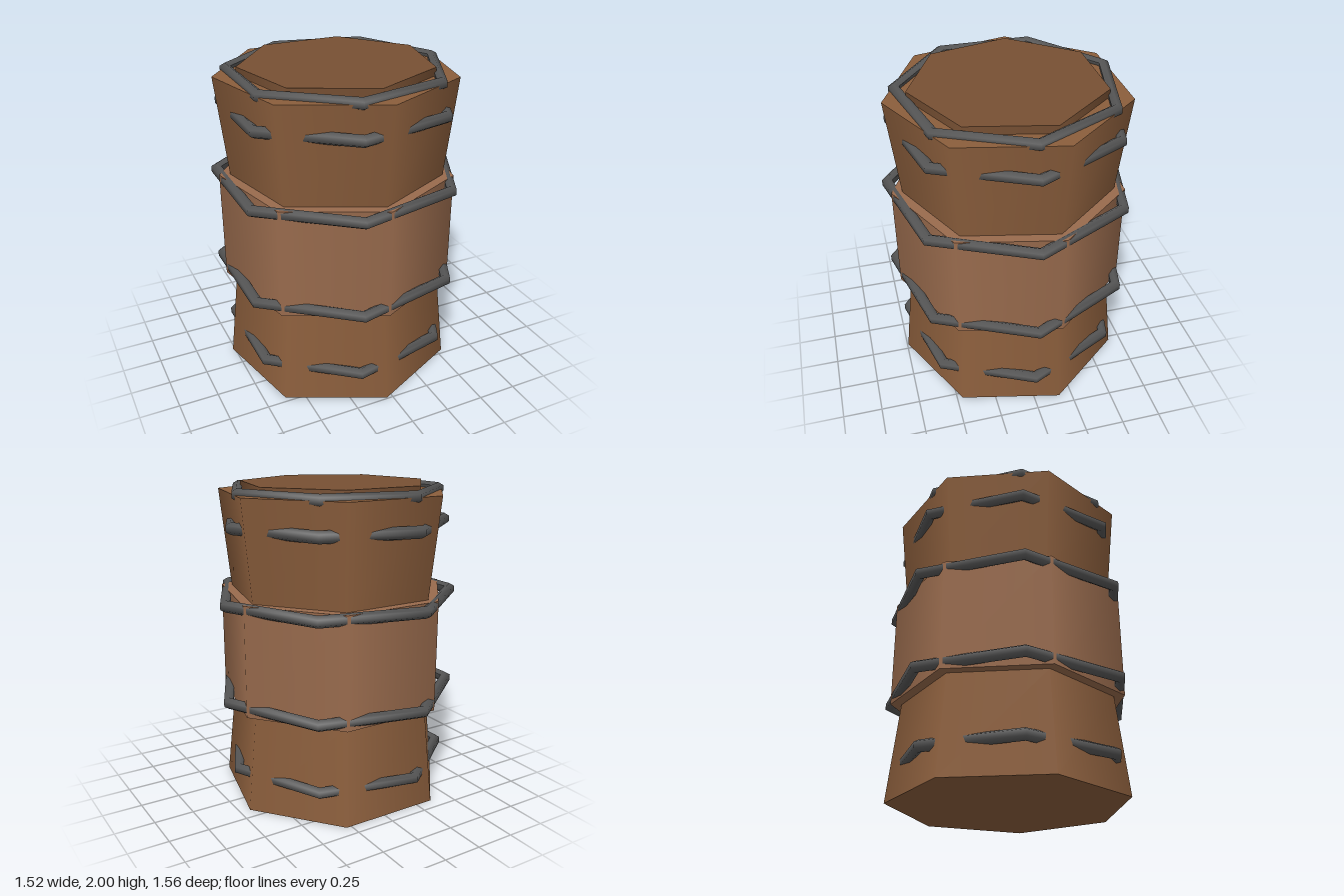
import * as THREE from 'three';

const SIDES = 7;

export function createModel() {
  const barrel = new THREE.Group();
  barrel.name = 'barrel';
  const mat = (color) => new THREE.MeshStandardMaterial({ color });
  const wood = mat(0x8b5e3c), lightWood = mat(0x996b4d), lidWood = mat(0x775033), iron = mat(0x555555);

  const add = (name, geometry, material, y) => {
    const mesh = new THREE.Mesh(geometry, material);
    mesh.name = name;
    mesh.position.set(-0.04, y, 0);
    barrel.add(mesh);
  };

  // Seven-sided wooden section between two heights
  const section = (name, bottomRadius, topRadius, y0, y1, material) =>
    add(name, new THREE.CylinderGeometry(topRadius, bottomRadius, y1 - y0, SIDES), material, (y0 + y1) / 2);

  section('lowerBody', 0.743, 0.675, 0, 0.625, wood);
  section('middleBody', 0.743, 0.743, 0.625, 1.325, lightWood);
  section('upperBody', 0.675, 0.743, 1.325, 1.95, wood);
  section('lid', 0.6, 0.6, 1.93, 2, lidWood);

  // Seven-sided hoop with a hexagonal bar, flat side outward
  const hoop = (name, radius, y) => {
    const profile = [];
    for (let i = 0; i <= 6; i++) {
      const a = Math.PI * (5 / 6 + i / 3);
      profile.push(new THREE.Vector2(radius + 0.0375 * Math.cos(a), 0.0375 * Math.sin(a)));
    }
    add(name, new THREE.LatheGeometry(profile, SIDES).rotateY(Math.PI / 2), iron, y);
  };

  hoop('bottomHoop', 0.7125, 0.215);
  hoop('lowerMiddleHoop', 0.7675, 0.675);
  hoop('upperMiddleHoop', 0.7675, 1.295);
  hoop('upperHoop', 0.7125, 1.757);
  hoop('rimHoop', 0.668, 1.95);

  return barrel;
}
